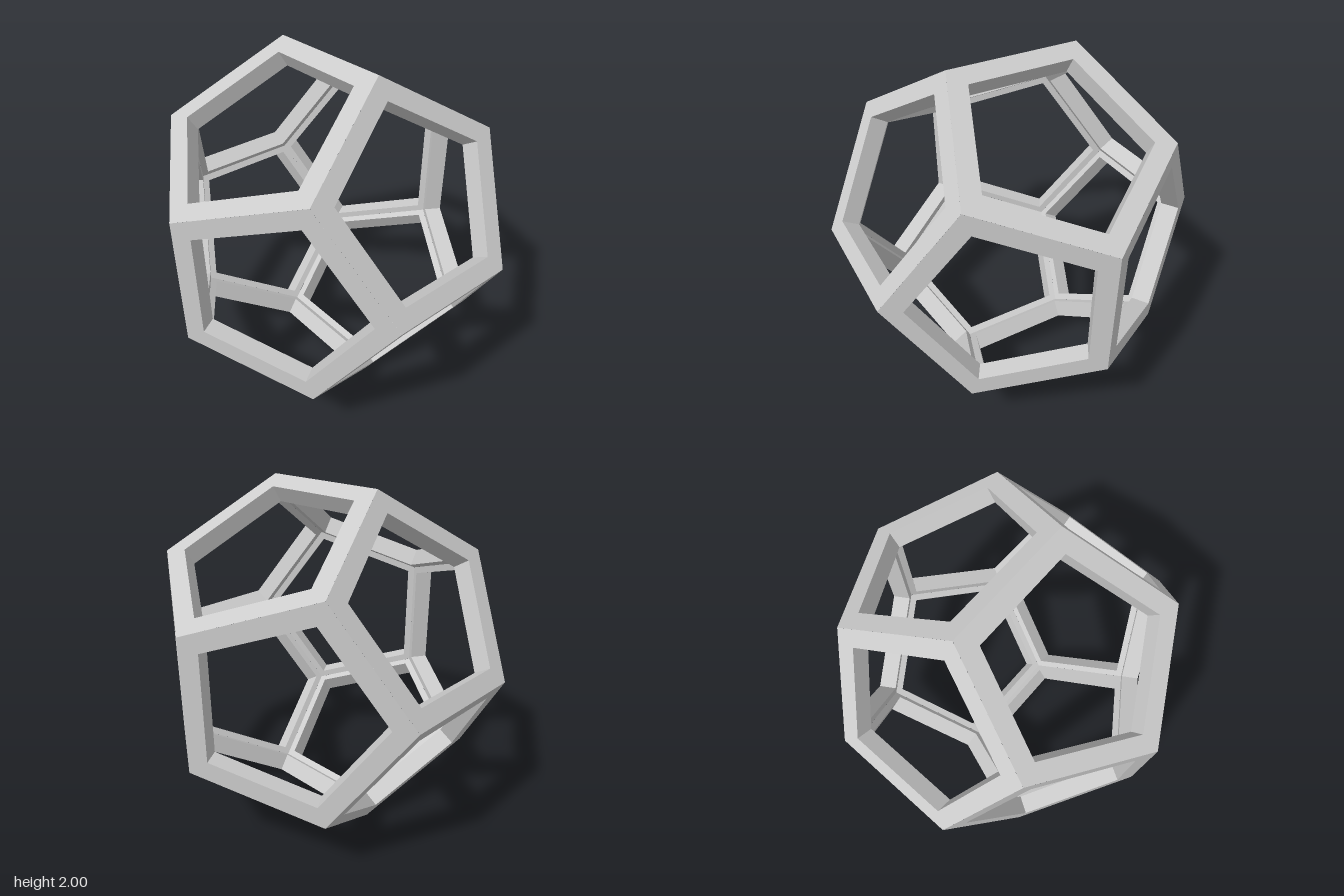
import * as THREE from 'three';

export function createModel() {
  const model = new THREE.Group();
  model.name = 'openDodecahedronFrame';
  const material = new THREE.MeshStandardMaterial({ color: 0xcccccc, flatShading: true });

  // Unit face-normal components, face distance and pentagon radius
  const a = 0.5257, b = 0.8507;
  const dist = 0.8507, radius = 0.6498;
  const hole = 0.8, inner = 0.875;

  // Five-sided ring: outer face, straight hole wall, inner face, mitred to its neighbours
  const profile = [
    [radius, dist],
    [radius * hole, dist],
    [radius * hole, dist * inner],
    [radius * inner, dist * inner],
  ].map(([r, y]) => new THREE.Vector2(r, y));
  const ring = new THREE.LatheGeometry(profile, 5).toNonIndexed();
  ring.computeVertexNormals();

  // Twelve faces: three axis permutations times four sign choices
  const cycle = (v, k) => {
    const c = [0, 1, 2].map((i) => v[(i - k + 3) % 3]);
    return new THREE.Vector3(...c);
  };
  for (let k = 0; k < 3; k++) {
    for (const s of [1, -1]) {
      for (const t of [1, -1]) {
        const normal = cycle([0, s * a, t * b], k);
        const apex = cycle([0, s * b, -t * a], k);
        const side = new THREE.Vector3().crossVectors(normal, apex);
        const face = new THREE.Mesh(ring, material);
        face.name = 'pentagonFrame';
        face.quaternion.setFromRotationMatrix(new THREE.Matrix4().makeBasis(side, normal, apex));
        face.position.y = 1;
        model.add(face);
      }
    }
  }
  return model;
}
